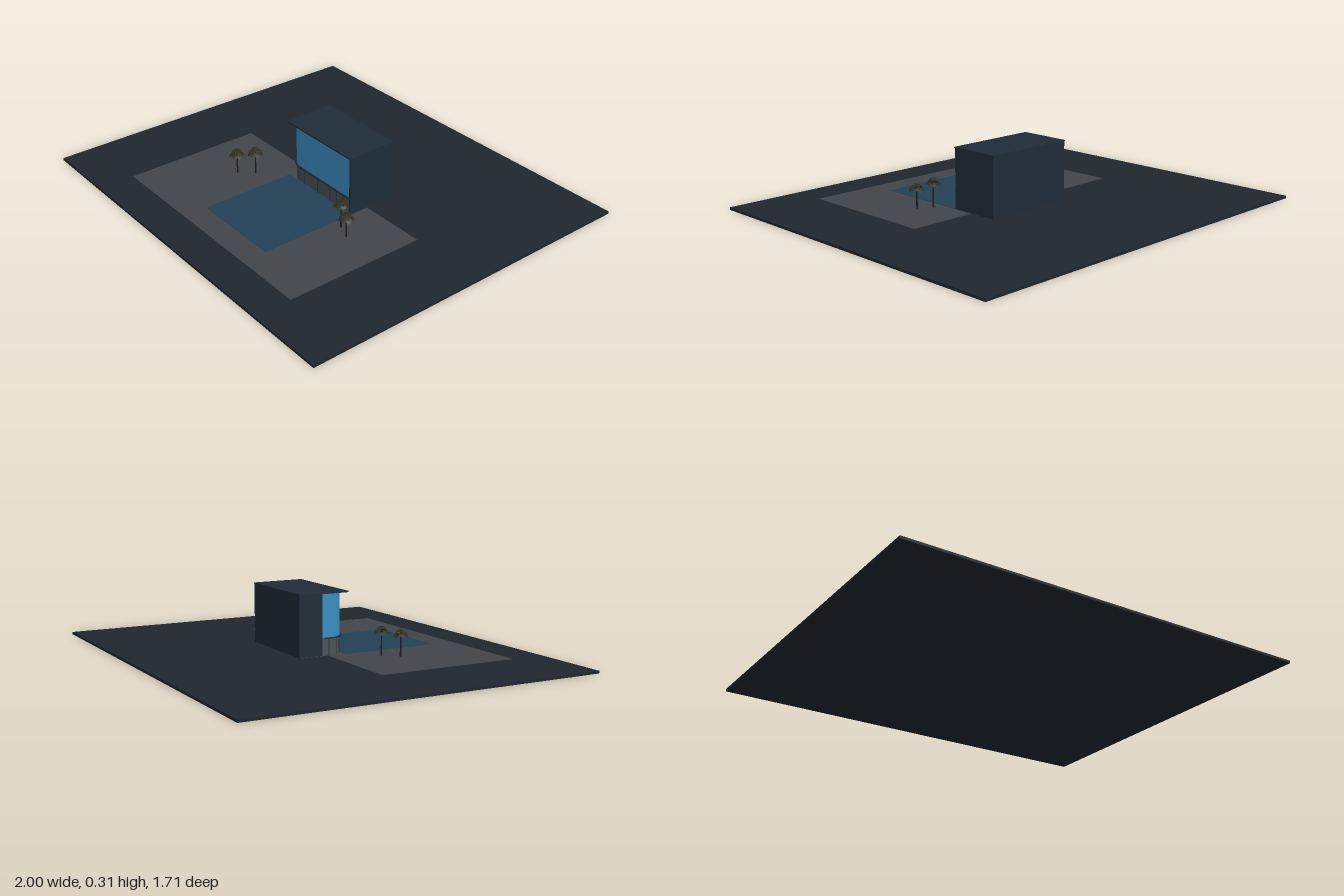
import * as THREE from 'three';
import { toCreasedNormals, mergeGeometries } from 'three/addons/utils/BufferGeometryUtils.js';

const mat = (color, side = THREE.FrontSide) => new THREE.MeshStandardMaterial({ color, side });
const DARK = mat(0x1f2c37), GROUND = mat(0x1f262e), PAVING = mat(0x414449), WATER = mat(0x224157);
const BLUE = mat(0x3a8dc2), GLASS = mat(0x475359), FRAME = mat(0x2b3238);
const TRUNK = mat(0x1f1b17), LEAF = mat(0x302e20, THREE.DoubleSide);

// Box given by its limits on each axis
function box(name, [x0, x1], [y0, y1], [z0, z1], material) {
  const m = new THREE.Mesh(new THREE.BoxGeometry(x1 - x0, y1 - y0, z1 - z0), material);
  m.position.set((x0 + x1) / 2, (y0 + y1) / 2, (z0 + z1) / 2);
  m.name = name;
  return m;
}

// Storey with one rounded front corner, extruded upwards
function storey(name, x0, x1, z0, z1, r, y0, y1, material) {
  const s = new THREE.Shape();
  s.moveTo(x0, -z0);
  s.lineTo(x0, -z1 + r);
  s.absarc(x0 + r, -z1 + r, r, Math.PI, Math.PI * 1.5, false);
  s.lineTo(x1, -z1);
  s.lineTo(x1, -z0);
  s.closePath();
  const g = new THREE.ExtrudeGeometry(s, { depth: y1 - y0, bevelEnabled: false, curveSegments: 14 });
  g.rotateX(-Math.PI / 2);
  const m = new THREE.Mesh(toCreasedNormals(g, 0.5), material);
  m.position.y = y0;
  m.name = name;
  return m;
}

function createBuilding() {
  const b = new THREE.Group();
  b.name = 'building';
  b.add(storey('groundFloorGlass', -0.168, 0.284, -0.155, 0.08, 0.09, 0.015, 0.096, GLASS));
  b.add(storey('upperFacade', -0.17, 0.284, -0.155, 0.083, 0.09, 0.1, 0.303, BLUE));
  b.add(storey('canopy', -0.178, 0.286, -0.03, 0.091, 0.096, 0.095, 0.1, DARK));
  b.add(box('roof', [-0.174, 0.289], [0.302, 0.308], [-0.166, 0.09], DARK));
  b.add(box('backWall', [-0.172, 0.288], [0.017, 0.303], [-0.165, -0.153], DARK));
  b.add(box('leftWall', [0.28, 0.288], [0.015, 0.303], [-0.165, 0.086], DARK));
  b.add(box('rightWall', [-0.172, -0.16], [0.017, 0.303], [-0.165, -0.045], DARK));

  // Window bars along the straight front, then around the rounded corner
  const bar = (x, z) => box('mullion', [x - 0.0015, x + 0.0015], [0.015, 0.096], [z - 0.002, z + 0.002], FRAME);
  for (let i = 0; i < 8; i++) b.add(bar(0.232 - i * 0.047, 0.081));
  for (let i = 1; i <= 3; i++) {
    const a = (i / 3) * Math.PI / 2;
    b.add(bar(-0.078 - Math.sin(a) * 0.09, -0.01 + Math.cos(a) * 0.09));
  }
  return b;
}

// Fan leaf: a spiky half-open disc, gently cupped
function fanLeaf(radius) {
  const s = new THREE.Shape();
  const tips = 9;
  s.moveTo(0, 0);
  for (let i = 0; i <= tips * 2; i++) {
    const a = -2.3 + (4.6 * i) / (tips * 2);
    const r = radius * (i % 2 ? 1 : 0.68);
    s.lineTo(Math.cos(a) * r, Math.sin(a) * r);
  }
  const g = new THREE.ShapeGeometry(s);
  g.rotateX(-Math.PI / 2);
  const p = g.attributes.position;
  for (let i = 0; i < p.count; i++) {
    p.setY(i, -14 * (p.getX(i) ** 2 + p.getZ(i) ** 2));
  }
  g.computeVertexNormals();
  return g;
}

function createPalm(x, z, height, turn) {
  const palm = new THREE.Group();
  palm.name = 'palmTree';
  const base = 0.014, hub = height - 0.027;
  const trunk = new THREE.Mesh(new THREE.CylinderGeometry(0.0028, 0.004, hub - base, 8), TRUNK);
  trunk.position.y = (hub + base) / 2;
  trunk.name = 'trunk';
  palm.add(trunk);

  // Two rings of fan leaves on short stalks
  const leaves = [], stalks = [];
  const rings = [{ n: 7, out: 0.025, lift: 0.004, tilt: -0.55 }, { n: 4, out: 0.01, lift: 0.02, tilt: -0.15 }];
  rings.forEach(({ n, out, lift, tilt }, ring) => {
    for (let i = 0; i < n; i++) {
      const a = turn + ring * 0.4 + (i / n) * Math.PI * 2;
      const rise = lift + (i % 2) * 0.006;
      leaves.push(fanLeaf(0.019).rotateZ(tilt).translate(out, rise, 0).rotateY(a));
      const curve = new THREE.QuadraticBezierCurve3(
        new THREE.Vector3(0, -0.004, 0), new THREE.Vector3(out * 0.4, rise, 0), new THREE.Vector3(out, rise, 0));
      stalks.push(new THREE.TubeGeometry(curve, 4, 0.001, 4).rotateY(a));
    }
  });
  for (const [name, list, material] of [['fronds', leaves, LEAF], ['stalks', stalks, TRUNK]]) {
    const m = new THREE.Mesh(mergeGeometries(list), material);
    m.position.y = hub;
    m.name = name;
    palm.add(m);
  }
  palm.position.set(x, 0, z);
  return palm;
}

export function createModel() {
  const model = new THREE.Group();
  model.name = 'poolHouse';

  // Site
  model.add(box('ground', [-1, 1], [0, 0.012], [-0.857, 0.857], GROUND));
  model.add(box('terrace', [-0.627, 0.625], [0.01, 0.015], [-0.015, 0.68], PAVING));
  model.add(box('pool', [-0.17, 0.288], [0.011, 0.0165], [0.08, 0.56], WATER));

  model.add(createBuilding());

  // Palms on both sides of the pool
  const palms = [[-0.345, 0.265, 0.14], [-0.285, 0.2, 0.151], [0.34, 0.182, 0.156], [0.413, 0.212, 0.137]];
  palms.forEach(([x, z, h], i) => model.add(createPalm(x, z, h, i * 0.8)));
  return model;
}
